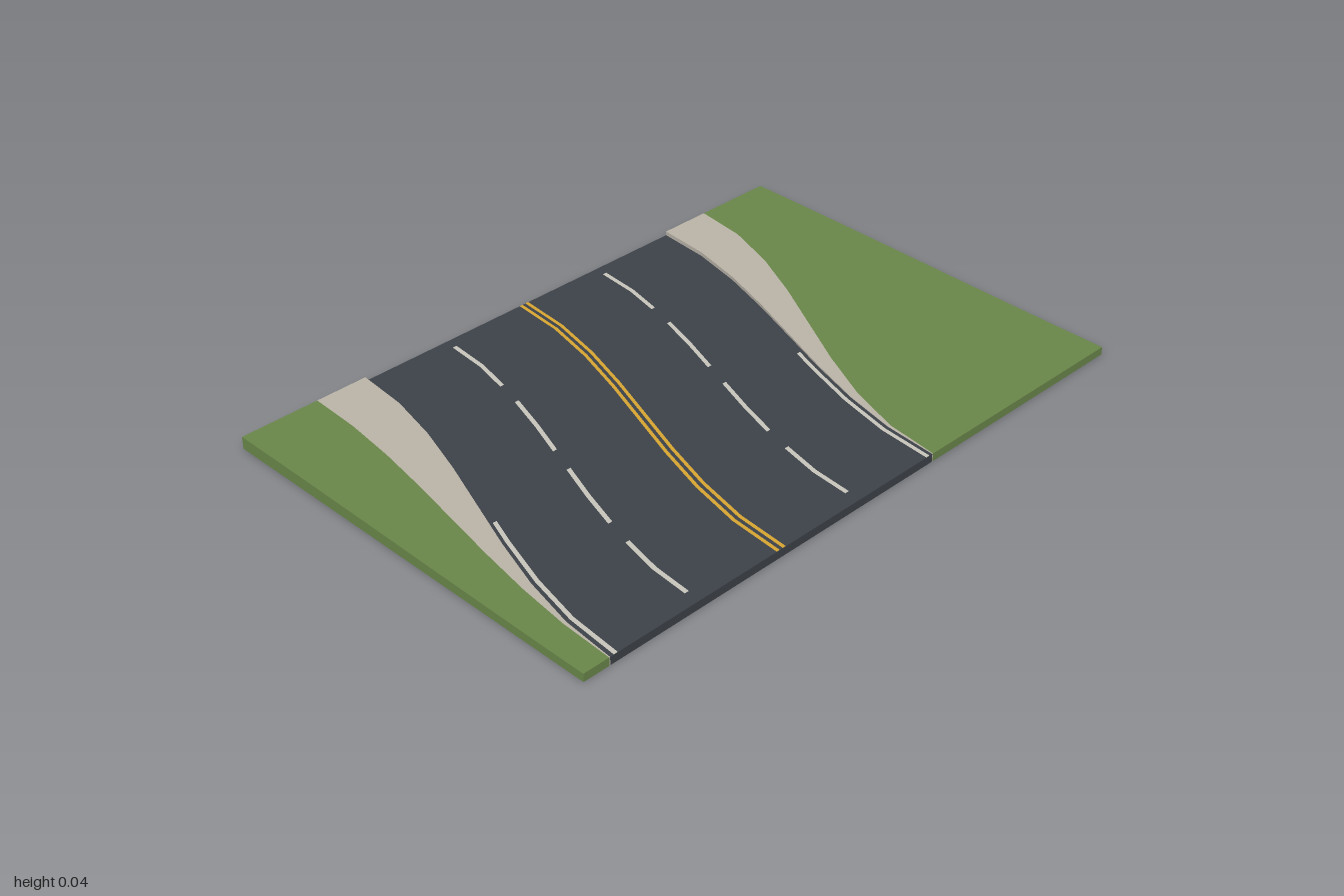
import * as THREE from 'three';
import { mergeGeometries } from 'three/addons/utils/BufferGeometryUtils.js';

const HALF = 0.667, STEPS = 8, ROAD_Y = 0.025, HALF_ROAD = 0.583;
const knots = Array.from({ length: STEPS + 1 }, (_, i) => -HALF + (2 * HALF * i) / STEPS);

// Eased run from 1 at the back to 0 at the front, straight between knots
function ease(z) {
  const t = THREE.MathUtils.clamp((HALF - z) / (2 * HALF), 0, 1) * STEPS;
  const i = Math.min(Math.floor(t), STEPS - 1);
  const smooth = k => THREE.MathUtils.smoothstep(k / STEPS, 0, 1);
  return THREE.MathUtils.lerp(smooth(i), smooth(i + 1), t - i);
}
const centre = z => -0.332 + 0.328 * ease(z);
const vergeY = z => ROAD_Y + 0.013 * ease(z);
const pathWidth = z => 0.003 + 0.162 * ease(z);
const inner = (z, side) => centre(z) + side * HALF_ROAD;
const outer = (z, side) => inner(z, side) + side * pathWidth(z);

// Surface through rows of points, with flat facets
function loft(rows) {
  const n = rows[0].length, index = [];
  for (let r = 0; r < rows.length - 1; r++) {
    for (let i = 0; i < n - 1; i++) {
      const a = r * n + i, b = a + 1, c = a + n, d = c + 1;
      index.push(a, c, b, b, c, d);
    }
  }
  const g = new THREE.BufferGeometry();
  g.setAttribute('position', new THREE.Float32BufferAttribute(rows.flat(2), 3));
  g.setIndex(index);
  const flat = g.toNonIndexed();
  flat.computeVertexNormals();
  return flat;
}

// Cross-section [x, y] listed from -x to +x, swept along z
const sweep = (section, zs = knots) => loft(zs.map(z => section(z).map(([x, y]) => [x, y, z])));

// Upright end faces at the front and back, from x0 to x1
function ends(x0, x1, top) {
  return [HALF, -HALF].map(z => {
    const row = y => [[x0(z), y, z], [x1(z), y, z]];
    const rows = [row(top(z)), row(0)];
    return loft(z > 0 ? rows : rows.reverse());
  });
}

// Painted line at a fixed offset from the road centre
function paintLine(offset, width, z0, z1) {
  const zs = [z0, ...knots.filter(k => k > z0 + 1e-4 && k < z1 - 1e-4), z1];
  const y = ROAD_Y + 0.0008;
  return sweep(z => [-1, 1].map(s => [centre(z) + offset + (s * width) / 2, y]), zs);
}

export function createModel() {
  const group = new THREE.Group();
  const material = (name, color) => {
    const m = new THREE.MeshStandardMaterial({ color, side: THREE.DoubleSide });
    m.name = name;
    return m;
  };
  const grass = material('grass green', 0x6a874a);
  const asphalt = material('asphalt grey', 0x3d4249);
  const concrete = material('concrete', 0xbab4a8);
  const white = material('line white', 0xc8c6bc);
  const yellow = material('line yellow', 0xd8a531);
  const add = (name, mat, parts) => {
    const mesh = new THREE.Mesh(mergeGeometries(parts), mat);
    mesh.name = name;
    group.add(mesh);
  };

  // Carriageway
  add('road', asphalt, [
    sweep(z => [[inner(z, -1), ROAD_Y], [inner(z, 1), ROAD_Y]]),
    ...ends(z => inner(z, -1), z => inner(z, 1), () => ROAD_Y),
  ]);

  // Grass verges and tapering pavements on both sides
  for (const side of [-1, 1]) {
    const word = side > 0 ? 'left' : 'right';
    const order = list => (side > 0 ? list.reverse() : list);
    const edge = () => side;
    const out = z => outer(z, side), inn = z => inner(z, side);

    add(word + 'Grass', grass, [
      sweep(z => order([[side, 0], [side, vergeY(z)], [out(z), vergeY(z)]])),
      ...ends(...order([edge, out]), vergeY),
    ]);
    add(word + 'Pavement', concrete, [
      sweep(z => order([[out(z), vergeY(z)], [inn(z), vergeY(z)], [inn(z), 0]])),
      ...ends(...order([out, inn]), vergeY),
    ]);

    // Lane dashes and the solid edge line
    const dashes = [-0.63, -0.295, 0.04, 0.375];
    add(word + 'LaneDashes', white, dashes.map(z => paintLine(side * 0.291, 0.014, z, z + 0.248)));
    add(word + 'EdgeLine', white, [paintLine(side * 0.565, 0.013, 0.08, HALF)]);
  }

  // Double centre line
  add('centreLines', yellow, [-0.011, 0.011].map(x => paintLine(x, 0.011, -HALF, HALF)));
  return group;
}
